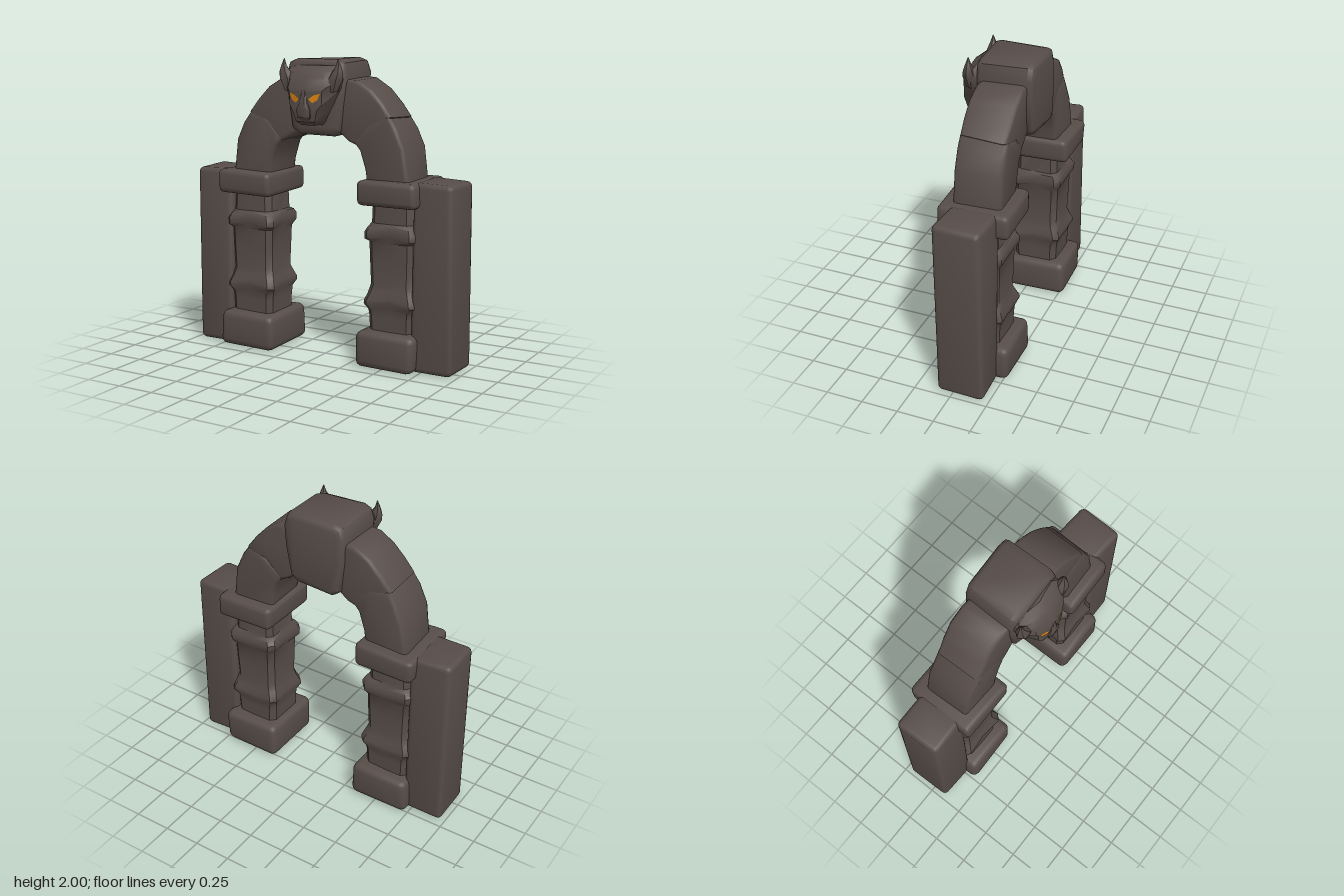
import * as THREE from 'three';
import { toCreasedNormals } from 'three/addons/utils/BufferGeometryUtils.js';
import { RoundedBoxGeometry } from 'three/addons/geometries/RoundedBoxGeometry.js';

const stone = new THREE.MeshStandardMaterial({ color: 0x574d49 });
stone.name = 'dark stone';
const amber = new THREE.MeshStandardMaterial({ color: 0xd9820c });
amber.name = 'amber eyes';

// Nudges every vertex by a smooth rule, so the stone looks hand-cut
function weather(geo, amount) {
  const p = geo.attributes.position;
  for (let i = 0; i < p.count; i++) {
    const x = p.getX(i), y = p.getY(i), z = p.getZ(i);
    p.setXYZ(i,
      x + amount * Math.sin(9 * y + 14 * z + 5 * x),
      y + amount * Math.sin(11 * x + 8 * z + 1),
      z + amount * Math.sin(10 * x + 7 * y + 2));
  }
  return geo;
}

function addPart(parent, name, geo, crease = 0.9, material = stone) {
  const flat = geo.index ? geo.toNonIndexed() : geo;
  flat.computeVertexNormals();
  const mesh = new THREE.Mesh(toCreasedNormals(flat, crease), material);
  mesh.name = name;
  parent.add(mesh);
  return mesh;
}

// Soft-edged block between two corners, on side s
function block(s, [x0, x1], [y0, y1], [z0, z1], radius) {
  const geo = new RoundedBoxGeometry(x1 - x0, y1 - y0, z1 - z0, 2, radius);
  geo.translate(s * (x0 + x1) / 2, (y0 + y1) / 2, (z0 + z1) / 2);
  return weather(geo, 0.006);
}

// Bevelled stone cut from a front outline, mirrored by s
function wedge(s, outline, z0, z1, bevel) {
  const shape = new THREE.Shape(outline.map(([x, y]) => new THREE.Vector2(s * x, y)));
  const geo = new THREE.ExtrudeGeometry(shape, {
    depth: z1 - z0 - 2 * bevel, bevelThickness: bevel, bevelSize: bevel,
    bevelOffset: -bevel, bevelSegments: 2,
  });
  geo.translate(0, 0, z0 + bevel);
  return weather(geo, 0.006);
}

// Skin over closed rings stacked upwards, capped at both ends
function loft(rings) {
  const n = rings[0].length;
  const points = rings.flat();
  const index = [];
  for (let r = 0; r < rings.length - 1; r++) {
    for (let i = 0; i < n; i++) {
      const a = r * n + i, b = r * n + (i + 1) % n;
      index.push(a, a + n, b, b, a + n, b + n);
    }
  }
  const top = (rings.length - 1) * n;
  for (let i = 1; i < n - 1; i++) {
    index.push(0, i, i + 1, top, top + i + 1, top + i);
  }
  const geo = new THREE.BufferGeometry();
  geo.setAttribute('position', new THREE.Float32BufferAttribute(points.flat(), 3));
  geo.setIndex(index);
  return geo;
}

// Square shaft with two pinched bands: rows are [height, half width]
function shaft(s) {
  const rows = [[0.2, 0.155], [0.34, 0.16], [0.39, 0.165], [0.43, 0.188], [0.455, 0.186],
    [0.5, 0.168], [0.55, 0.153], [0.7, 0.158], [0.83, 0.162], [0.86, 0.185],
    [0.905, 0.187], [0.935, 0.172], [0.955, 0.15], [1.1, 0.146]];
  const rings = rows.map(([y, w]) => {
    const bulge = w - 0.155, c = 0.035, d = w - 0.004;
    const mid = 0.155 + bulge * 0.5;
    const half = [[w, d - c], [w - c, d], [0, mid], [c - w, d], [-w, d - c], [-mid, 0]];
    const outline = [...half, [-w, c - d], [c - w, -d], [0, -mid], [w - c, -d], [w, c - d], [mid, 0]];
    return outline.map(([x, z]) =>
      [s * 0.535 + x, y + (bulge > 0.01 ? 0.012 * Math.sin(14 * x + 9 * z) : 0), z - 0.05]);
  });
  return loft(rings);
}

function buildSide(s) {
  const side = new THREE.Group();
  side.name = s > 0 ? 'leftSide' : 'rightSide';
  addPart(side, 'outerPillar', block(s, [0.69, 0.972], [0.007, 1.235], [-0.212, 0.108], 0.035));
  addPart(side, 'base', block(s, [0.325, 0.735], [0.007, 0.25], [-0.285, 0.188], 0.045));
  addPart(side, 'capital', block(s, [0.325, 0.745], [1.075, 1.237], [-0.288, 0.188], 0.035));
  addPart(side, 'bandedShaft', shaft(s), 0.7);
  addPart(side, 'lowerArchStone', wedge(s, [[0.365, 1.18], [0.35, 1.3], [0.315, 1.42], [0.27, 1.475],
    [0.38, 1.6], [0.52, 1.64], [0.575, 1.56], [0.63, 1.44], [0.665, 1.22], [0.66, 1.18]], -0.21, 0.112, 0.025));
  addPart(side, 'upperArchStone', wedge(s, [[0.34, 1.43], [0.23, 1.475], [0.15, 1.54], [0.14, 1.7],
    [0.2, 1.87], [0.28, 1.868], [0.385, 1.81], [0.47, 1.72], [0.535, 1.63], [0.44, 1.52]], -0.205, 0.108, 0.025));
  return side;
}

function buildHead() {
  const head = new THREE.Group();
  head.name = 'guardianHead';

  // Skull rows: height, back half width, cheek half width, cheek z, face half width, face z, centre z
  const rows = [
    [1.575, 0.07, 0.07, 0.17, 0.045, 0.225, 0.235],
    [1.6, 0.09, 0.09, 0.18, 0.07, 0.255, 0.268],
    [1.67, 0.12, 0.125, 0.18, 0.09, 0.267, 0.288],
    [1.71, 0.14, 0.15, 0.175, 0.12, 0.255, 0.283],
    [1.79, 0.17, 0.19, 0.17, 0.12, 0.255, 0.283],
    [1.81, 0.18, 0.2, 0.17, 0.135, 0.25, 0.276],
    [1.87, 0.19, 0.215, 0.165, 0.125, 0.232, 0.25],
    [1.915, 0.18, 0.2, 0.16, 0.11, 0.205, 0.22],
    [1.955, 0.14, 0.15, 0.14, 0.08, 0.15, 0.165],
  ];
  addPart(head, 'skull', loft(rows.map(([y, b, c, cz, f, fz, mz]) => [
    [b, y, 0.06], [c, y, cz], [f, y, fz], [0, y, mz], [-f, y, fz], [-c, y, cz], [-b, y, 0.06],
  ])), 0.5);

  // Nose bridge widening into the muzzle
  const nose = [[1.6, 0.03, 0.262], [1.63, 0.045, 0.288], [1.68, 0.05, 0.295], [1.72, 0.028, 0.293], [1.8, 0.02, 0.28]];
  addPart(head, 'nose', loft(nose.map(([y, w, z]) => [
    [w, y, 0.2], [w, y, z - 0.01], [w * 0.5, y, z], [-w * 0.5, y, z], [-w, y, z - 0.01], [-w, y, 0.2],
  ])), 0.5);

  for (const s of [1, -1]) {
    // Pointed ear: rows are centre x, height, half width, half depth
    const ear = [[0.165, 1.79, 0.03, 0.03], [0.18, 1.87, 0.055, 0.045], [0.195, 1.91, 0.043, 0.035],
      [0.203, 1.95, 0.02, 0.02], [0.2, 1.998, 0.002, 0.002]];
    addPart(head, s > 0 ? 'leftEar' : 'rightEar', loft(ear.map(([x, y, w, d]) =>
      [0, 1, 2, 3, 4, 5].map((i) => {
        const a = i * Math.PI / 3;
        return [s * x + w * Math.cos(a), y, 0.185 + d * Math.sin(a)];
      }))), 0.6);

    // Slanted eye lying on the face plane
    const outline = [[0.034, 1.745], [0.06, 1.72], [0.095, 1.74], [0.112, 1.782], [0.07, 1.77]];
    const eye = new THREE.ShapeGeometry(new THREE.Shape(outline.map(([x, y]) => new THREE.Vector2(s * x, y))));
    const p = eye.attributes.position;
    for (let i = 0; i < p.count; i++) p.setZ(i, 0.287 - Math.abs(p.getX(i)) * 0.028 / 0.12);
    addPart(head, s > 0 ? 'leftEye' : 'rightEye', eye, 0.5, amber);
  }
  return head;
}

export function createModel() {
  const model = new THREE.Group();
  model.name = 'stoneArchway';
  model.add(buildSide(1), buildSide(-1));
  addPart(model, 'keystone', wedge(1, [[-0.135, 1.5], [0.135, 1.5], [0.19, 1.54], [0.21, 1.75], [0.218, 1.9],
    [0.195, 1.975], [0.14, 1.995], [-0.14, 1.995], [-0.195, 1.975], [-0.218, 1.9], [-0.21, 1.75],
    [-0.19, 1.54]], -0.243, 0.142, 0.04));
  model.add(buildHead());
  return model;
}
